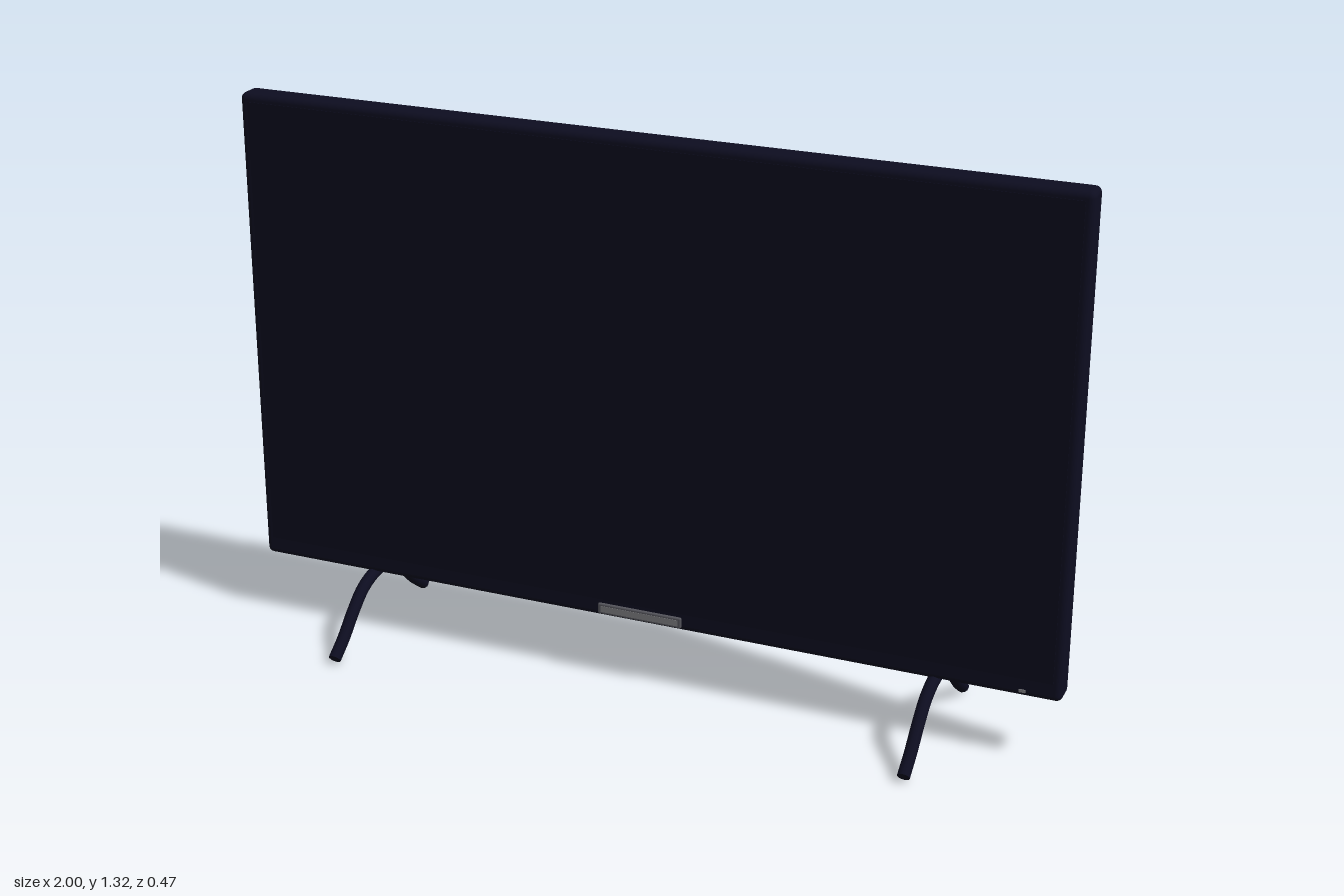
import * as THREE from 'three';
import { RoundedBoxGeometry } from 'three/addons/geometries/RoundedBoxGeometry.js';

const paint = (name, color) => {
  const m = new THREE.MeshStandardMaterial({ color });
  m.name = name;
  return m;
};

export function createModel() {
  const model = new THREE.Group();
  model.name = 'television';
  const body = paint('midnight casing', 0x0d0d20);
  const glass = paint('dark screen', 0x0b0b1d);
  const grey = paint('grey trim', 0x55555c);
  const silver = paint('silver', 0x7c7c80);

  const add = (name, geometry, material, x, y, z, parent = model) => {
    const mesh = new THREE.Mesh(geometry, material);
    mesh.name = name;
    mesh.position.set(x, y, z);
    parent.add(mesh);
    return mesh;
  };

  // Panel and screen
  add('panel', new RoundedBoxGeometry(2, 1.164, 0.064, 4, 0.015), body, 0, 0.738, 0.001);
  add('screen', new THREE.BoxGeometry(1.96, 1.1, 0.002), glass, 0, 0.75, 0.0335);

  // Rear electronics housing, its front sunk into the panel
  add('rearHousing', new RoundedBoxGeometry(1.04, 0.62, 0.14, 6, 0.045), body, 0, 0.645, -0.043);

  // Ventilation ribs
  const vents = new THREE.Group();
  vents.name = 'vents';
  model.add(vents);
  for (let i = 0; i < 6; i++) {
    add('ventRib', new THREE.BoxGeometry(0.63, 0.011, 0.012), body, 0, 0.425 + i * 0.042, -0.115, vents);
  }

  // Badge plate and standby light on the lower bezel
  add('badgeFrame', new RoundedBoxGeometry(0.21, 0.027, 0.009, 2, 0.004), grey, 0, 0.178, 0.0345);
  add('badgeFace', new THREE.BoxGeometry(0.194, 0.015, 0.002), silver, 0, 0.178, 0.039);
  add('standbyLight', new THREE.BoxGeometry(0.015, 0.007, 0.004), silver, 0.912, 0.171, 0.0335);

  // Arched tube feet with flat end caps
  const arch = new THREE.CatmullRomCurve3([
    [0.012, 0.227], [0.047, 0.18], [0.094, 0.13], [0.134, 0.075], [0.151, 0],
    [0.134, -0.075], [0.094, -0.13], [0.047, -0.18], [0.012, -0.227],
  ].map(([y, z]) => new THREE.Vector3(0, y, z)));
  const up = new THREE.Vector3(0, 0, 1);
  for (const side of [-1, 1]) {
    const foot = new THREE.Group();
    foot.name = side > 0 ? 'leftFoot' : 'rightFoot';
    foot.position.x = side * 0.708;
    model.add(foot);
    add('footTube', new THREE.TubeGeometry(arch, 48, 0.015, 12), body, 0, 0, 0, foot);
    for (const t of [0, 1]) {
      const p = arch.getPointAt(t);
      const out = arch.getTangentAt(t).multiplyScalar(t ? 1 : -1);
      const cap = add('footCap', new THREE.CircleGeometry(0.015, 12), body, p.x, p.y, p.z, foot);
      cap.quaternion.setFromUnitVectors(up, out);
    }
  }
  return model;
}
